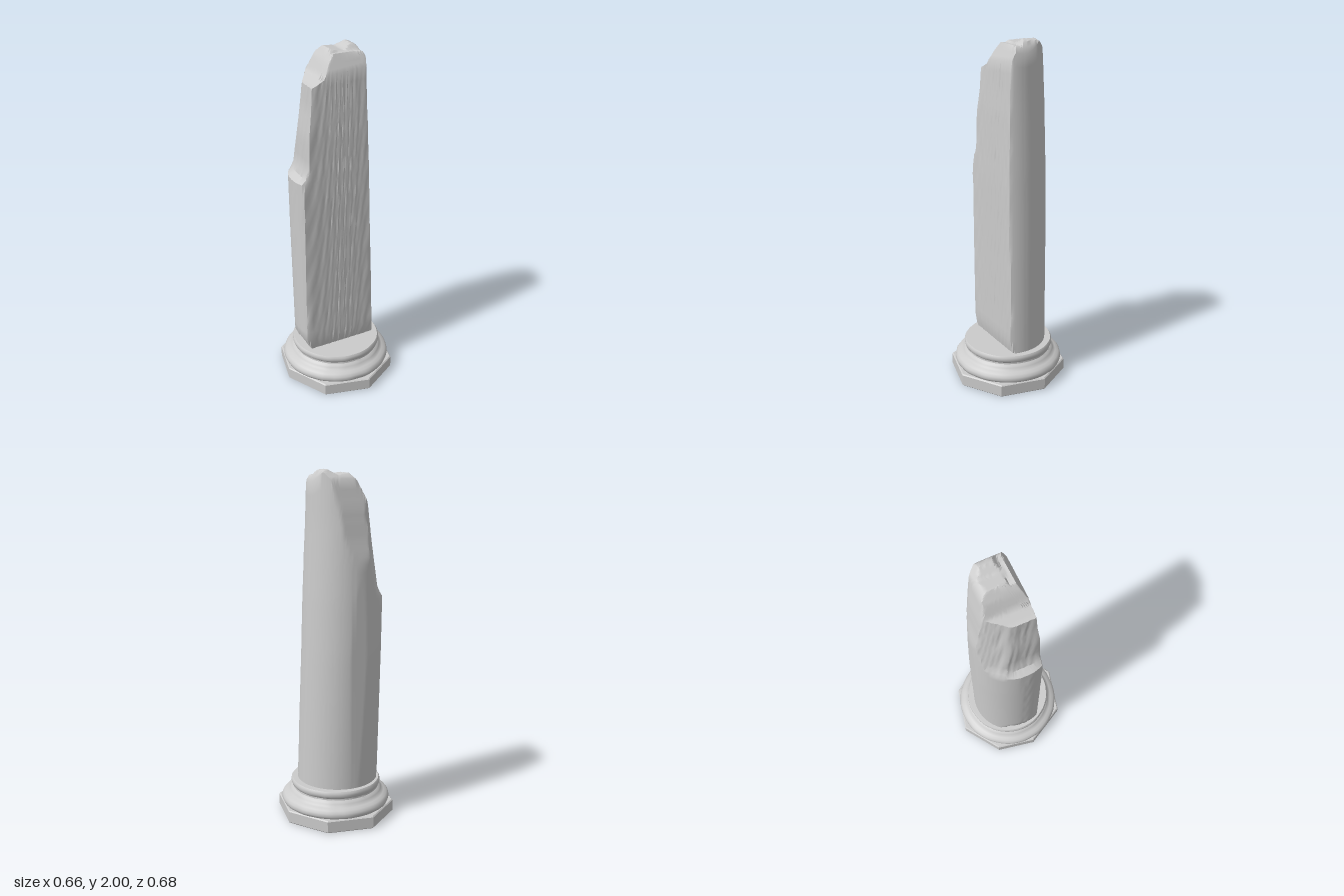
import * as THREE from 'three';
import { toCreasedNormals } from 'three/addons/utils/BufferGeometryUtils.js';

const material = new THREE.MeshStandardMaterial({ color: 0xcccccc });

// Piecewise-linear lookup in a list of [position, value] pairs
function sample(table, t) {
  if (t <= table[0][0]) return table[0][1];
  for (let i = 1; i < table.length; i++) {
    const [a, va] = table[i - 1], [b, vb] = table[i];
    if (t <= b) return va + (vb - va) * (t - a) / (b - a);
  }
  return table[table.length - 1][1];
}

// Limits of the shaft by height: rounded body, then the planes where stone broke away
const radius = [[0.2, 0.235], [1.3, 0.225], [1.85, 0.215]];
const centreX = [[0.2, -0.015], [1.3, -0.04], [1.85, -0.055]];
const centreZ = [[0.2, 0.01], [1.0, -0.005], [1.85, -0.005]];
const frontZ = [[0.2, 0.085], [0.27, 0.1], [1.2, 0.093], [1.6, 0.082], [1.85, 0.068]];
const leftX = [[0.2, 0.2], [0.24, 0.215], [0.29, 0.25], [0.5, 0.255], [1.295, 0.263],
  [1.32, 0.222], [1.38, 0.205], [1.55, 0.198], [1.7, 0.178], [1.85, 0.172]];
const diagonal = [[0.2, 0.3], [1.295, 0.27], [1.33, 0.235], [1.5, 0.21], [1.7, 0.185], [1.85, 0.172]];
const backZ = [[0.2, 0.225], [1.5, 0.228], [1.65, 0.2], [1.85, 0.183]];
// Height of the broken top along x and along z
const topByX = [[-0.2, 1.81], [-0.16, 1.82], [-0.1, 1.85], [-0.06, 1.93], [-0.02, 1.98],
  [0.05, 1.97], [0.1, 2.0], [0.13, 1.99], [0.155, 1.94], [0.17, 1.91]];
const topByZ = [[-0.22, 1.73], [-0.18, 1.8], [-0.15, 1.95], [-0.1, 2.0], [-0.03, 2.0],
  [0, 1.965], [0.03, 1.97], [0.05, 1.92], [0.08, 1.85]];

const bump = (a, b, c) => Math.sin(a * 37 + b * 11 + 1.3) * Math.sin(b * 17 - c * 29) * 0.5
  + Math.sin(a * 61 - b * 29 + c * 43) * 0.3;

const coreZ = -0.05;

// Distance from the core line to the shaft surface in one direction
function reach(angle, y) {
  const dx = Math.cos(angle), dz = Math.sin(angle);
  const ox = -sample(centreX, y), oz = coreZ - sample(centreZ, y), r = sample(radius, y);
  const along = ox * dx + oz * dz;
  let d = -along + Math.sqrt(along * along - ox * ox - oz * oz + r * r);
  const cut = (nx, nz, limit) => {
    const facing = nx * dx + nz * dz;
    if (facing > 1e-4) d = Math.min(d, (limit - nz * coreZ) / facing);
  };
  cut(0.035, 1, sample(frontZ, y) + bump(dx, y, 0) * 0.004);
  cut(-1, 0, sample(leftX, y) + bump(0, y, dz) * 0.004);
  cut(-0.84, -0.54, sample(diagonal, y) + (y > 1.3 ? bump(dx, y, dz) * 0.006 : 0));
  cut(0, -1, sample(backZ, y));
  return d;
}

function shaftGeometry() {
  const columns = 120, heights = [0.2, 0.24, 0.29];
  for (let y = 0.34; y < 1.27; y += 0.05) heights.push(y);
  heights.push(1.295, 1.32, 1.35, 1.38);
  for (let y = 1.42; y < 1.72; y += 0.04) heights.push(y);
  const positions = [], indices = [];
  const addRing = (place) => {
    for (let i = 0; i < columns; i++) positions.push(...place(i / columns * Math.PI * 2));
  };
  const broken = (x, z) => Math.min(sample(topByX, x), sample(topByZ, z));
  // Side rings
  for (const y of heights) {
    addRing((a) => {
      const d = reach(a, y);
      return [Math.cos(a) * d, y, coreZ + Math.sin(a) * d];
    });
  }
  // Side rings rising to the uneven rim
  const last = heights[heights.length - 1];
  for (const t of [0.35, 0.7, 1]) {
    addRing((a) => {
      const d = reach(a, last + (1.85 - last) * t);
      const x = Math.cos(a) * d, z = coreZ + Math.sin(a) * d;
      return [x, last + (broken(x, z) - last) * t, z];
    });
  }
  // Broken top, closing in to the core
  for (let k = 11; k >= 0; k--) {
    addRing((a) => {
      const d = reach(a, 1.85) * k / 12;
      const x = Math.cos(a) * d, z = coreZ + Math.sin(a) * d;
      return [x, broken(x, z), z];
    });
  }
  const rings = positions.length / 3 / columns;
  for (let j = 0; j < rings - 1; j++) {
    for (let i = 0; i < columns; i++) {
      const n = (i + 1) % columns;
      const a = j * columns + i, b = j * columns + n, c = a + columns, d = b + columns;
      indices.push(a, c, b);
      if (j < rings - 2) indices.push(b, c, d);
    }
  }
  const geometry = new THREE.BufferGeometry();
  geometry.setAttribute('position', new THREE.Float32BufferAttribute(positions, 3));
  geometry.setIndex(indices);
  return toCreasedNormals(geometry, 0.7);
}

// Irregular eight-sided slab
function plinthGeometry() {
  const corners = [[-0.07, -0.34], [0.19, -0.28], [0.33, -0.06], [0.28, 0.2],
    [0.06, 0.34], [-0.2, 0.28], [-0.33, 0.04], [-0.285, -0.19]];
  const shape = new THREE.Shape(corners.map(([x, z]) => new THREE.Vector2(x, -z)));
  const geometry = new THREE.ExtrudeGeometry(shape, {
    depth: 0.063, bevelEnabled: true, bevelThickness: 0.006, bevelSize: 0.006,
    bevelOffset: -0.006, bevelSegments: 1,
  });
  return geometry.rotateX(-Math.PI / 2).translate(0, 0.006, 0);
}

// Rounded mouldings, slightly worn
function mouldingGeometry() {
  const profile = [[0.295, 0.065], [0.311, 0.078], [0.317, 0.092], [0.314, 0.108], [0.303, 0.122],
    [0.285, 0.13], [0.274, 0.137], [0.268, 0.147], [0.262, 0.155], [0.251, 0.163], [0.25, 0.172],
    [0.257, 0.179], [0.261, 0.192], [0.26, 0.206], [0.254, 0.215], [0, 0.215]];
  const geometry = new THREE.LatheGeometry(profile.map(([r, y]) => new THREE.Vector2(r, y)), 80);
  const p = geometry.attributes.position;
  for (let i = 0; i < p.count; i++) {
    const x = p.getX(i), y = p.getY(i), z = p.getZ(i);
    const wear = 1 + bump(x, y, z) * 0.008;
    p.setXYZ(i, x * wear, y, z * wear);
  }
  return toCreasedNormals(geometry, 0.8);
}

export function createModel() {
  const model = new THREE.Group();
  model.name = 'brokenColumn';
  const parts = { plinth: plinthGeometry(), baseMoulding: mouldingGeometry(), brokenShaft: shaftGeometry() };
  for (const [name, geometry] of Object.entries(parts)) {
    const mesh = new THREE.Mesh(geometry, material);
    mesh.name = name;
    model.add(mesh);
  }
  return model;
}
